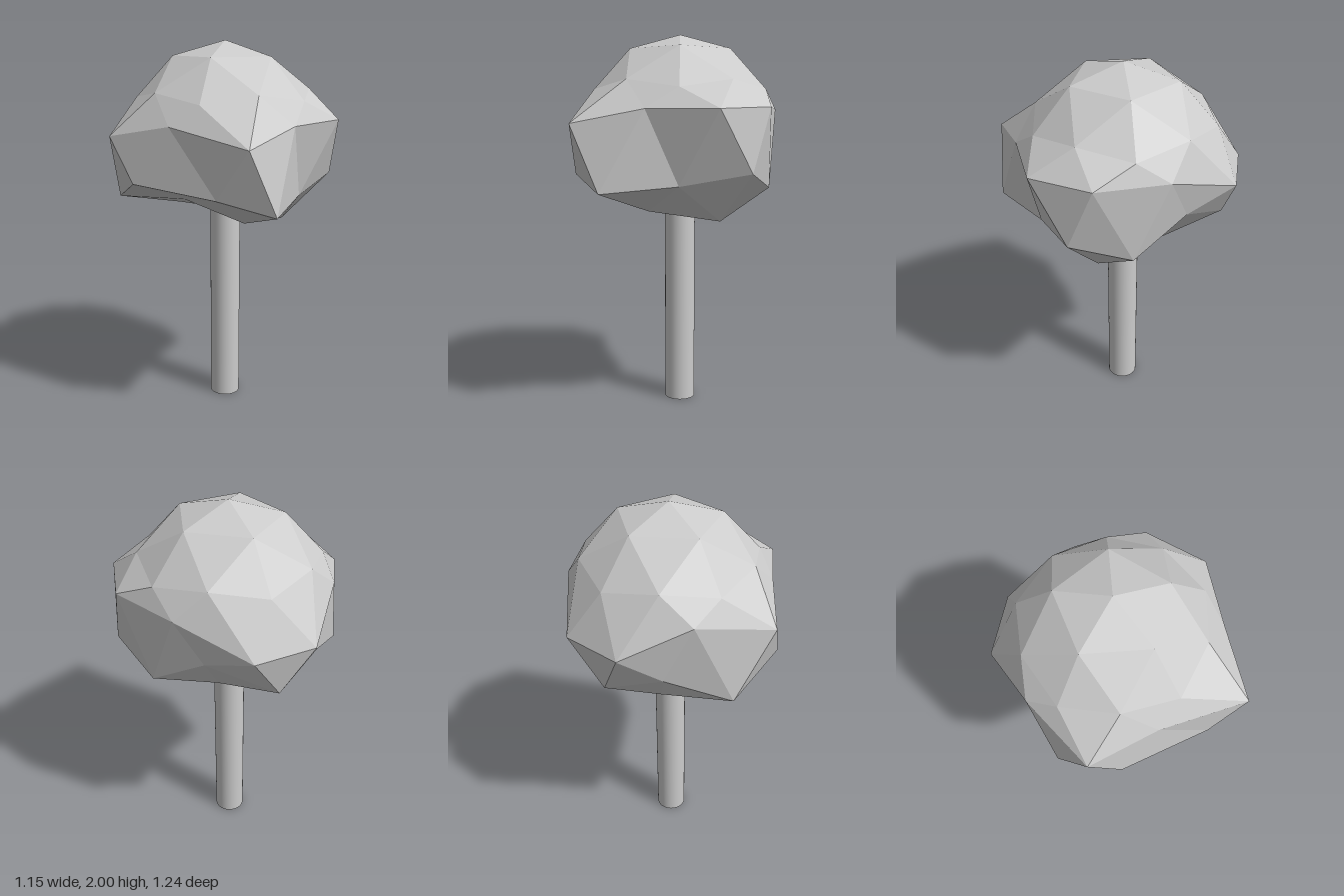
import * as THREE from 'three';

const R = 0.523; // crown radius before its vertices are nudged

// Ring of points round the crown axis, each moved by its own nudge
function ring(radius, height, startDeg, count, nudges = []) {
  return Array.from({ length: count }, (_, i) => {
    const a = THREE.MathUtils.degToRad(startDeg + (360 / count) * i);
    const p = new THREE.Vector3(Math.cos(a) * radius * R, height * R, Math.sin(a) * radius * R);
    return nudges[i] ? p.add(new THREE.Vector3(...nudges[i])) : p;
  });
}

// Subdivided icosahedron standing on its pole, with a lumpy lower half
function crownGeometry() {
  const top = new THREE.Vector3(0, R, 0);
  const cap = ring(0.526, 0.851, 0, 5);
  const upper = ring(0.894, 0.447, 0, 5);
  const upperMid = ring(0.851, 0.526, 36, 5);
  const belt = ring(1, 0, 18, 10, [
    [0.04, 0.14, 0.04], [0.05, 0.13, 0.06], [0, 0.13, 0.01], [-0.05, 0.06, 0.19], [0.01, 0.13, 0.01],
    [-0.12, 0.06, 0], [0, 0.14, 0], [0, -0.01, -0.08], [0, -0.01, -0.09], [-0.01, 0.13, 0],
  ]);
  const lower = ring(0.894, -0.447, 36, 5, [
    [0.1, 0.05, 0.045], [-0.055, -0.04, 0.19], [-0.12, 0.07, 0], [-0.025, 0.07, -0.02], [0.01, 0.13, 0.015],
  ]);
  const lowerMid = ring(0.851, -0.526, 72, 5, [
    [0, 0.03, 0.01], [-0.05, 0.08, 0.18], [-0.115, -0.02, -0.055], [-0.01, 0.01, -0.08], [0.05, 0, 0.01],
  ]);
  const base = ring(0.526, -0.851, 36, 5, [
    [0.05, 0, 0], [0, 0.05, 0], [0, 0.16, 0], [0, 0.06, -0.04], [0, 0.1, 0],
  ]);
  const bottom = new THREE.Vector3(0, -R + 0.146, 0);

  // One large face split in four through its edge midpoints
  const points = [];
  const split = (a, b, c, ab, bc, ca) =>
    points.push(a, ab, ca, ab, b, bc, ca, bc, c, ab, bc, ca);

  for (let k = 0; k < 5; k++) {
    const n = (k + 1) % 5;
    const e0 = belt[2 * k], e1 = belt[2 * k + 1], e2 = belt[(2 * k + 2) % 10];
    split(top, upper[n], upper[k], cap[n], upperMid[k], cap[k]);
    split(upper[k], upper[n], lower[k], upperMid[k], e1, e0);
    split(upper[n], lower[n], lower[k], e2, lowerMid[k], e1);
    split(lower[k], lower[n], bottom, lowerMid[k], base[n], base[k]);
  }
  const geometry = new THREE.BufferGeometry().setFromPoints(points);
  geometry.computeVertexNormals();
  return geometry;
}

export function createModel() {
  const tree = new THREE.Group();
  tree.name = 'tree';

  // Trunk
  const trunkHeight = 1.13;
  const trunk = new THREE.Mesh(
    new THREE.CylinderGeometry(0.082, 0.082, trunkHeight, 32),
    new THREE.MeshStandardMaterial({ color: 0xcccccc })
  );
  trunk.name = 'trunk';
  trunk.position.set(0.035, trunkHeight / 2, -0.015);

  // Faceted crown
  const crown = new THREE.Mesh(
    crownGeometry(),
    new THREE.MeshStandardMaterial({ color: 0xcccccc, flatShading: true })
  );
  crown.name = 'crown';
  crown.position.set(0.035, 2 - R, -0.015);

  tree.add(trunk, crown);
  return tree;
}
